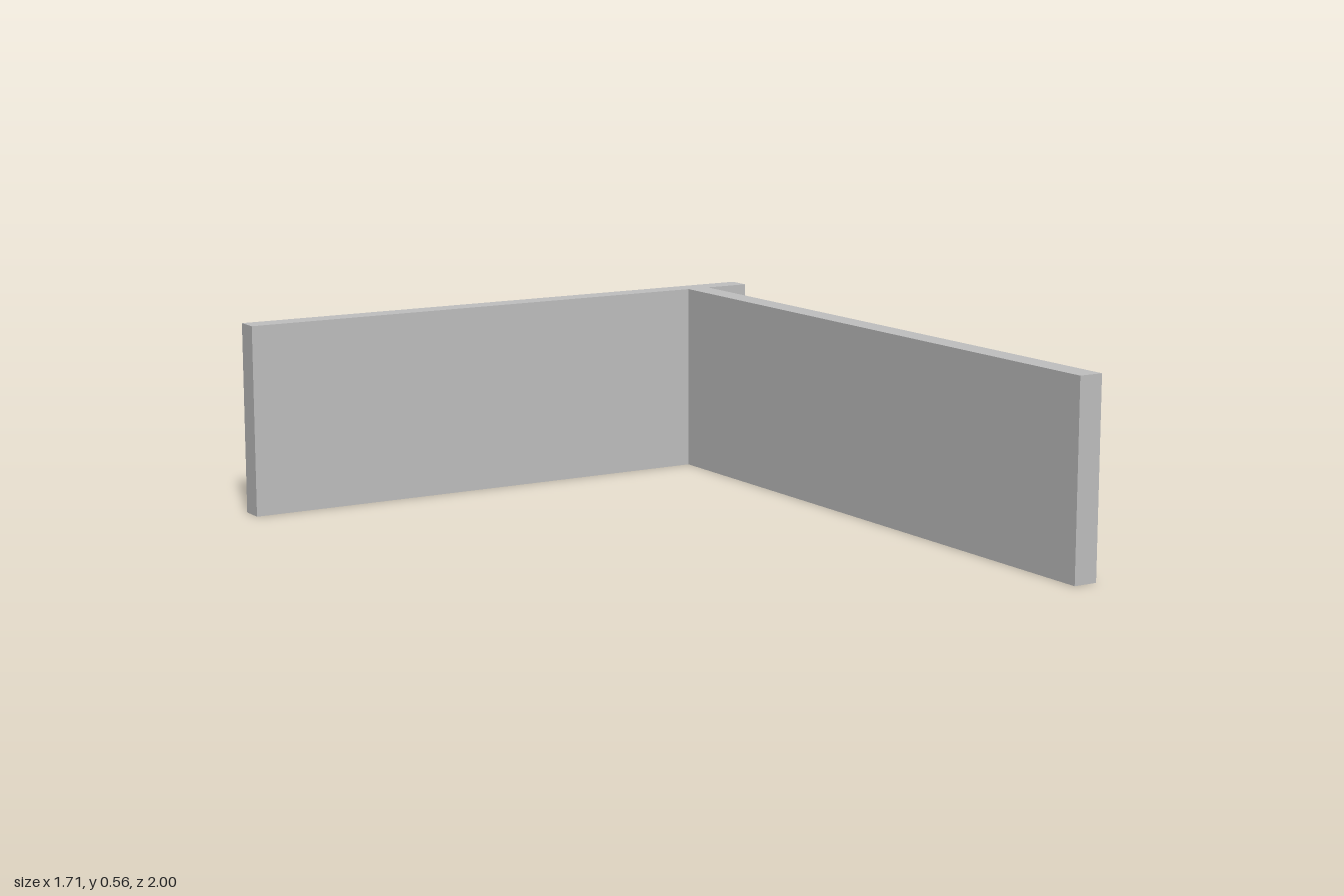
import * as THREE from 'three';

export function createModel() {
  const group = new THREE.Group();
  group.name = 'wallJunction';
  const grey = new THREE.MeshStandardMaterial({ color: 0xbfbfbf });
  grey.name = 'light grey';

  const height = 0.565, thickness = 0.071;
  const halfWidth = 0.853, wallLeft = 0.64, wallRight = 0.713;

  // Plan outline of the T: a long back wall joined by an off-centre side wall.
  // Shape y is -z, so the back lies at +1 and the front end at -1.
  const inner = 1 - thickness;
  const plan = new THREE.Shape([
    [-halfWidth, 1], [-halfWidth, inner], [wallLeft, inner], [wallLeft, -1],
    [wallRight, -1], [wallRight, inner], [halfWidth, inner], [halfWidth, 1],
  ].map(([x, y]) => new THREE.Vector2(x, y)));

  // Raise the plan to full height, standing on y = 0
  const geometry = new THREE.ExtrudeGeometry(plan, { depth: height, bevelEnabled: false });
  geometry.rotateX(-Math.PI / 2);
  const walls = new THREE.Mesh(geometry, grey);
  walls.name = 'joinedWalls';
  group.add(walls);
  return group;
}
